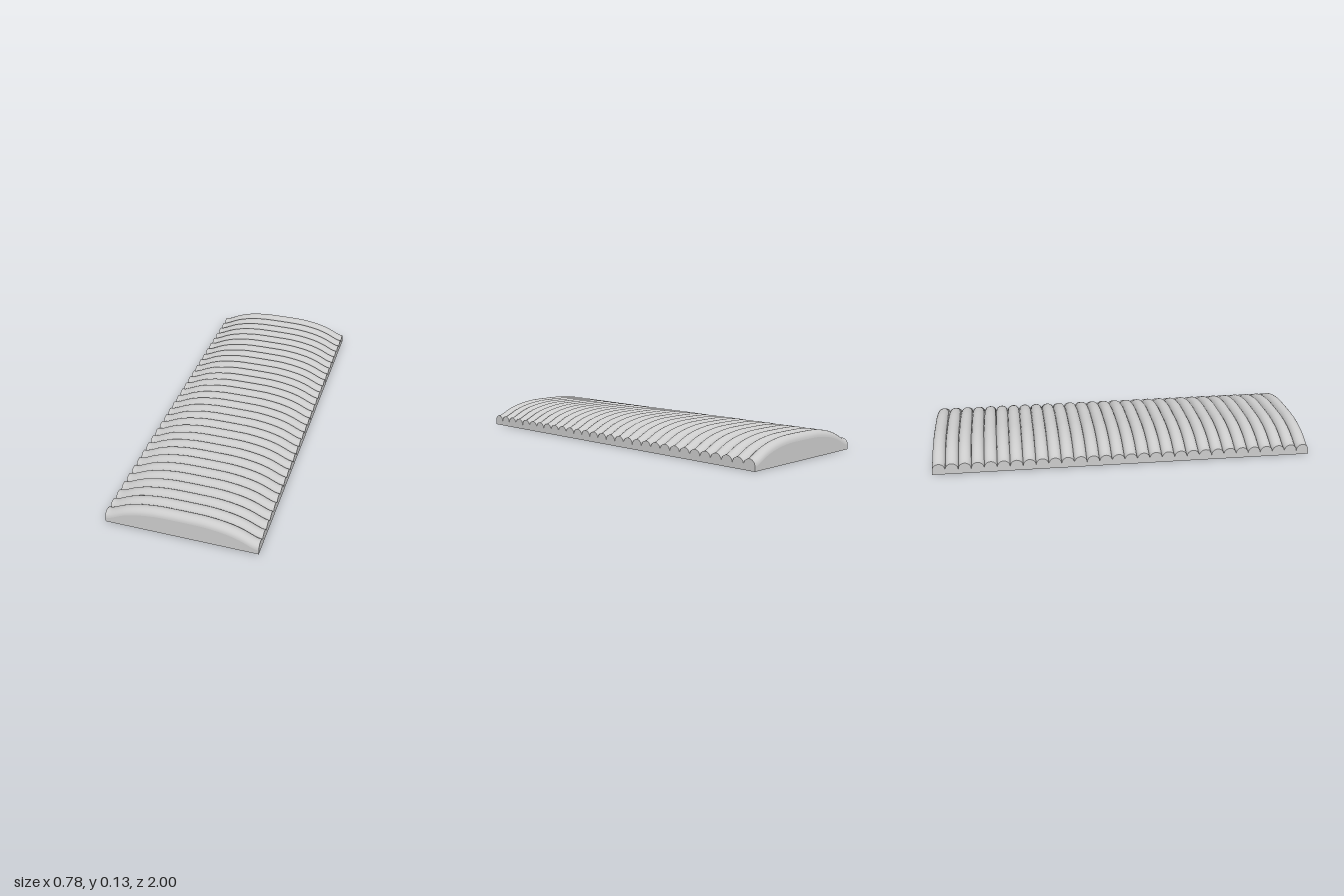
import * as THREE from 'three';
import { mergeGeometries } from 'three/addons/utils/BufferGeometryUtils.js';

const COUNT = 30, LENGTH = 2, HALF = 0.39;
const R = LENGTH / COUNT / 2; // ridge radius
const ARC = 12, STEPS = 18;

// Crest height across the width, from the centre to the edge
const half = new THREE.SplineCurve([
  [0, 0.133], [0.1, 0.132], [0.15, 0.128], [0.2, 0.121], [0.25, 0.11],
  [0.3, 0.093], [0.345, 0.071], [0.37, 0.06], [HALF, 0.057],
].map(([x, y]) => new THREE.Vector2(x, y))).getPoints(STEPS);

// Groove line from left to right, one ridge radius below the crest
const groove = [
  ...half.slice(1).reverse().map((p) => new THREE.Vector2(-p.x, p.y - R)),
  ...half.map((p) => new THREE.Vector2(p.x, p.y - R)),
];

// Half-round ridge following the crowned profile, with flat ends
function ridgeGeometry() {
  const top = new THREE.PlaneGeometry(2, 2, groove.length - 1, ARC);
  top.rotateX(-Math.PI / 2);
  const pos = top.attributes.position;
  for (let i = 0; i < pos.count; i++) {
    const p = groove[i % groove.length];
    const a = pos.getZ(i) * Math.PI / 2;
    pos.setXYZ(i, p.x, p.y + R * Math.cos(a), R * Math.sin(a));
  }
  top.computeVertexNormals();
  const ends = [1, -1].map((s) => new THREE.CircleGeometry(R, ARC, 0, Math.PI)
    .rotateY(s * Math.PI / 2)
    .translate(s * HALF, groove[0].y, 0));
  return mergeGeometries([top, ...ends]);
}

export function createModel() {
  const group = new THREE.Group();
  const material = new THREE.MeshStandardMaterial({ color: 0xcccccc });

  // Solid crowned body under the ridges
  const shape = new THREE.Shape([
    new THREE.Vector2(-HALF, 0), ...groove, new THREE.Vector2(HALF, 0),
  ]);
  const body = new THREE.Mesh(
    new THREE.ExtrudeGeometry(shape, { depth: LENGTH, bevelEnabled: false }).translate(0, 0, -LENGTH / 2),
    material,
  );
  body.name = 'body';
  group.add(body);

  // Row of ridges along the length
  const ridges = new THREE.Group();
  ridges.name = 'ridges';
  const geometry = ridgeGeometry();
  for (let i = 0; i < COUNT; i++) {
    const ridge = new THREE.Mesh(geometry, material);
    ridge.name = 'ridge';
    ridge.position.z = -LENGTH / 2 + R * (2 * i + 1);
    ridges.add(ridge);
  }
  group.add(ridges);
  return group;
}
